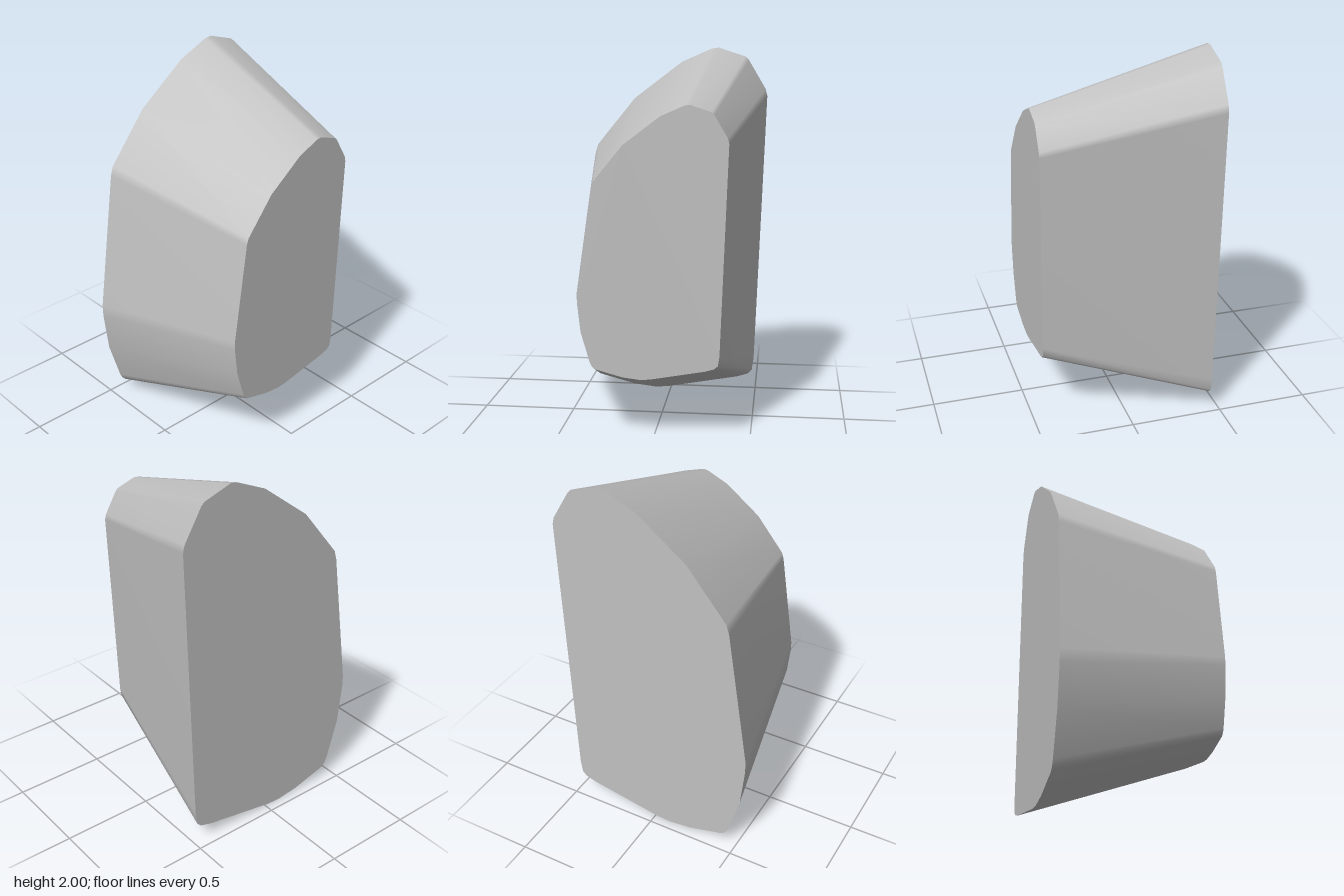
import * as THREE from 'three';

// Outline of the large back face, clockwise from the lowest point
const OUTLINE = [
  [-0.09, 0], [-0.22, 0.015], [-0.425, 0.07], [-0.445, 0.09], [-0.46, 0.12],
  [-0.525, 0.345], [-0.55, 0.57], [-0.55, 0.64], [-0.44, 1.4], [-0.425, 1.45],
  [-0.21, 1.715], [0.06, 1.92], [0.23, 1.995], [0.27, 2], [0.42, 1.95],
  [0.44, 1.93], [0.535, 1.77], [0.545, 1.73], [0.49, 0.195], [0.48, 0.125],
  [0.455, 0.1], [0.39, 0.08], [-0.02, 0.005],
].reverse().map(([x, y]) => new THREE.Vector2(x, y));

const HALF_DEPTH = 0.45;
const TAPER = 0.7; // front outline relative to the back one
const CENTRE_Y = 1.083; // the taper closes in on this height

const FRONT = OUTLINE.map(p => new THREE.Vector2(p.x * TAPER, CENTRE_Y + (p.y - CENTRE_Y) * TAPER));

// Smooth wall joining the two outlines
function wallGeometry() {
  const n = OUTLINE.length;
  const positions = [];
  const index = [];
  OUTLINE.forEach((p, i) => {
    const f = FRONT[i];
    positions.push(p.x, p.y, -HALF_DEPTH, f.x, f.y, HALF_DEPTH);
    const a = 2 * i, b = 2 * ((i + 1) % n);
    index.push(a, b, b + 1, a, b + 1, a + 1);
  });
  const g = new THREE.BufferGeometry();
  g.setAttribute('position', new THREE.Float32BufferAttribute(positions, 3));
  g.setIndex(index);
  g.computeVertexNormals();
  return g;
}

export function createModel() {
  const group = new THREE.Group();
  group.name = 'taperedBlock';
  const grey = new THREE.MeshStandardMaterial({ color: 0xc0c0c0 });
  grey.name = 'grey';

  const add = (name, geometry) => {
    const mesh = new THREE.Mesh(geometry, grey);
    mesh.name = name;
    group.add(mesh);
  };

  add('taperedWall', wallGeometry());

  // Flat front face
  add('frontFace', new THREE.ShapeGeometry(new THREE.Shape(FRONT)).translate(0, 0, HALF_DEPTH));

  // Flat back face: drawn mirrored, then turned around to face backwards
  const mirrored = OUTLINE.map(p => new THREE.Vector2(-p.x, p.y));
  add('backFace', new THREE.ShapeGeometry(new THREE.Shape(mirrored)).rotateY(Math.PI).translate(0, 0, -HALF_DEPTH));

  return group;
}
